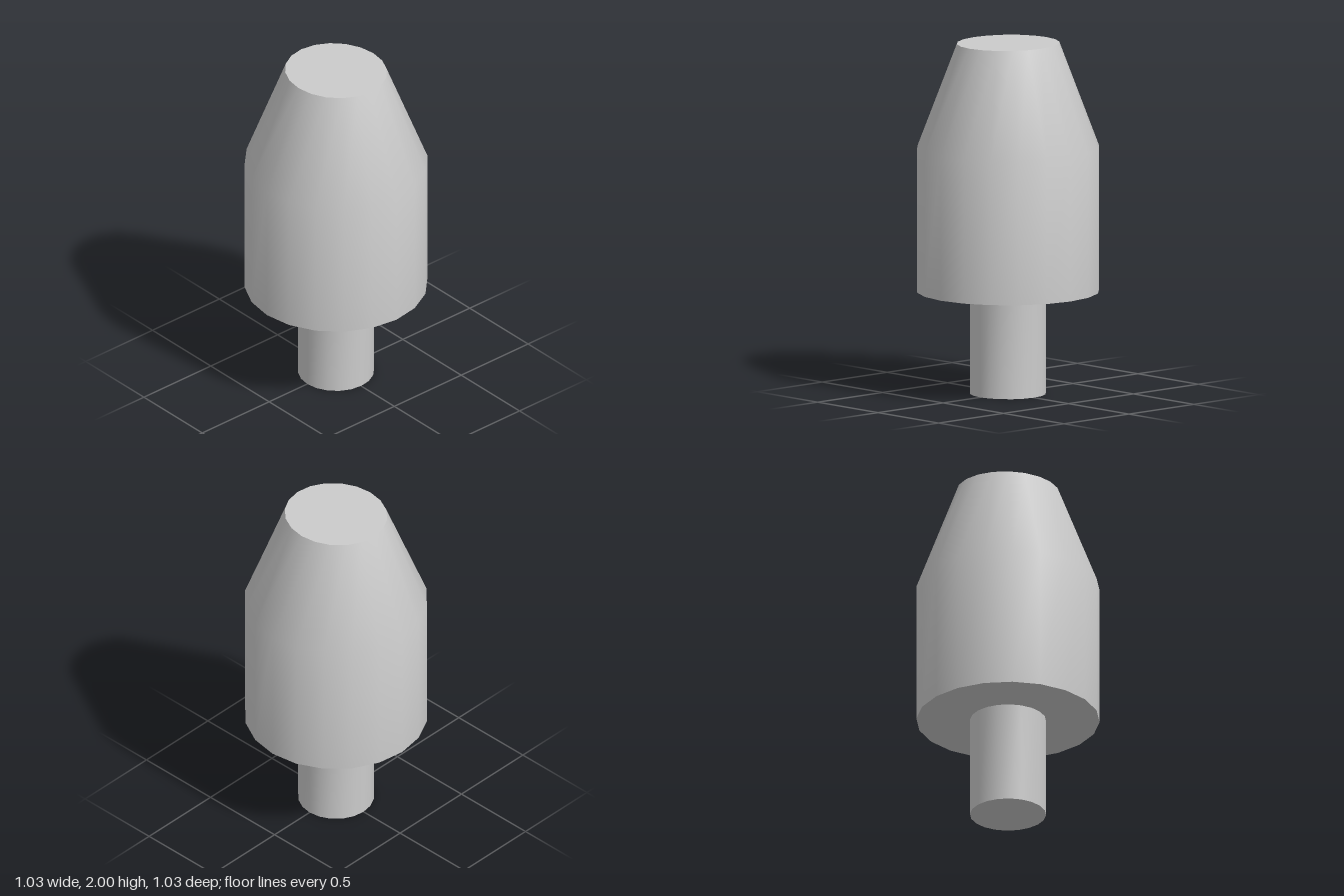
import * as THREE from 'three';
import { toCreasedNormals } from 'three/addons/utils/BufferGeometryUtils.js';

const SIDES = 20;
const STEM_TOP = 0.585, SHOULDER = 1.405, TOP = 2;
const BODY_R = 0.517, STEM_R = 0.215;

export function createModel() {
  const model = new THREE.Group();
  const material = new THREE.MeshStandardMaterial({ color: 0xcccccc });

  const add = (name, geometry) => {
    const mesh = new THREE.Mesh(toCreasedNormals(geometry, 0.7), material);
    mesh.name = name;
    model.add(mesh);
  };

  // Stem
  const stem = new THREE.CylinderGeometry(STEM_R, STEM_R, STEM_TOP, SIDES);
  stem.translate(0, STEM_TOP / 2, 0);
  add('stem', stem);

  // Body: straight sides up to the shoulder, then a taper to a slightly oval top
  const body = new THREE.CylinderGeometry(BODY_R, BODY_R, 2, SIDES, 2);
  const p = body.attributes.position;
  for (let i = 0; i < p.count; i++) {
    const y = p.getY(i);
    if (y > 0.5) p.setXYZ(i, p.getX(i) * 0.299 / BODY_R, TOP, p.getZ(i) * 0.28 / BODY_R);
    else p.setY(i, y < -0.5 ? STEM_TOP : SHOULDER);
  }
  add('body', body);

  return model;
}
